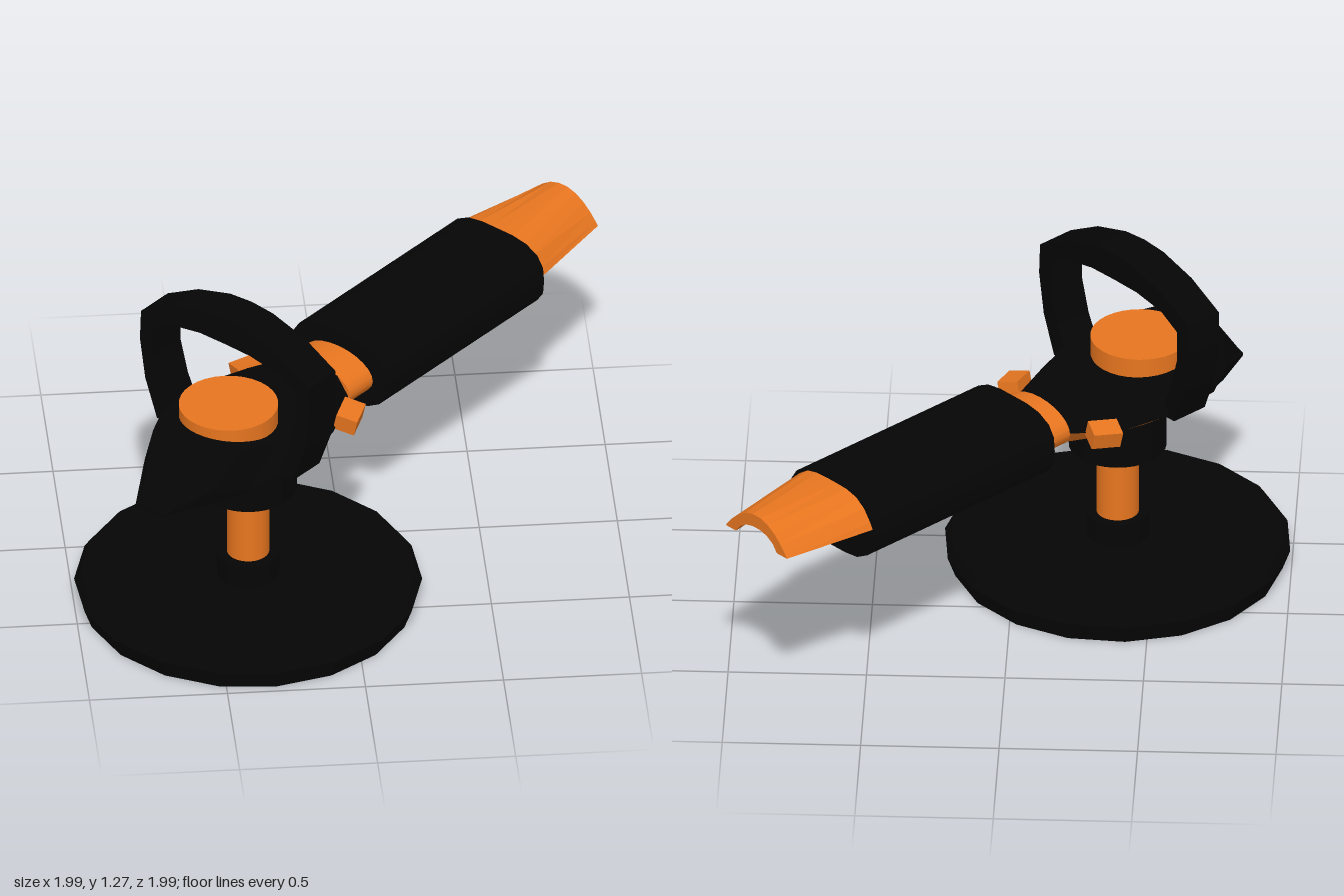
import * as THREE from 'three';

const black = new THREE.MeshStandardMaterial({ color: 0x050505 });
black.name = 'blackRubber';
const orange = new THREE.MeshStandardMaterial({ color: 0xea7720 });
orange.name = 'orangePlastic';

// Full ring from its +z half, listed top to bottom as [z, y].
const mirrored = half => [...half, ...half.slice().reverse().map(([z, y]) => [-z, y])];

// Faceted loft along x. rings: [x, [[z, y], ...]]; pick(segment, side) gives material 0 or 1.
function loft(rings, pick = () => 0) {
  const lists = [[], []];
  const n = rings[0][1].length;
  const at = (i, k) => {
    const [x, pts] = rings[i];
    const [z, y] = pts[k % n];
    return [x, y, z];
  };
  for (let i = 0; i < rings.length - 1; i++) {
    for (let k = 0; k < n; k++) {
      const a = at(i, k), b = at(i, k + 1), c = at(i + 1, k), d = at(i + 1, k + 1);
      lists[pick(i, k)].push(...a, ...b, ...c, ...b, ...d, ...c);
    }
  }
  for (const [i, dir] of [[0, -1], [rings.length - 1, 1]]) {
    const pts = rings[i][1].map(([z, y]) => new THREE.Vector2(z, y));
    for (const [p, q, r] of THREE.ShapeUtils.triangulateShape(pts, [])) {
      const u = pts[q].clone().sub(pts[p]), v = pts[r].clone().sub(pts[p]);
      const facing = -u.cross(v); // sign of the normal along x
      const order = facing * dir > 0 ? [p, q, r] : [p, r, q];
      order.forEach(k => lists[0].push(...at(i, k)));
    }
  }
  const geo = new THREE.BufferGeometry();
  geo.setAttribute('position', new THREE.Float32BufferAttribute([...lists[0], ...lists[1]], 3));
  geo.addGroup(0, lists[0].length / 3, 0);
  geo.addGroup(lists[0].length / 3, lists[1].length / 3, 1);
  geo.computeVertexNormals();
  return geo;
}

export function createModel() {
  const root = new THREE.Group();
  root.name = 'polisher';
  // Tool axis is local +x, the spindle is local y.
  const tool = new THREE.Group();
  tool.name = 'tool';
  tool.rotation.y = Math.PI / 4;
  tool.position.set(-0.37, 0, 0.372);
  root.add(tool);

  const add = (name, geo, mat, x = 0, y = 0, z = 0) => {
    const mesh = new THREE.Mesh(geo, mat);
    mesh.name = name;
    mesh.position.set(x, y, z);
    tool.add(mesh);
    return mesh;
  };
  const post = (name, r, y0, y1, mat, x = 0) =>
    add(name, new THREE.CylinderGeometry(r, r, y1 - y0, 32), mat, x, (y0 + y1) / 2);

  // Polishing pad, dished underneath around the hub
  const padProfile = [[0, 0.06], [0.1, 0.06], [0.1, 0.07], [0.5, 0.07], [0.6, 0], [0.628, 0.075], [0.605, 0.108], [0, 0.108]]
    .map(p => new THREE.Vector2(...p));
  const padGeo = new THREE.LatheGeometry(padProfile, 18).toNonIndexed();
  padGeo.computeVertexNormals();
  add('pad', padGeo, black);

  // Spindle
  post('padHub', 0.113, 0.1, 0.2, black);
  post('spindle', 0.077, 0.19, 0.5, orange);
  post('collar', 0.177, 0.48, 0.68, black);

  // Gear head: black shell, orange lower panels
  const section = (x, wt, yt, wm, ym, wb, yb) => [x, mirrored([[wt, yt], [wm, ym], [wb, yb]])];
  const head = loft([
    section(-0.56, 0.04, 0.665, 0.06, 0.658, 0.06, 0.65),
    section(-0.39, 0.12, 0.865, 0.16, 0.72, 0.14, 0.65),
    section(-0.26, 0.19, 0.845, 0.23, 0.69, 0.185, 0.65),
    section(-0.12, 0.23, 0.822, 0.285, 0.73, 0.19, 0.65),
    section(0.04, 0.22, 0.815, 0.285, 0.725, 0.18, 0.65),
    section(0.2, 0.17, 0.812, 0.235, 0.71, 0.15, 0.655),
    section(0.385, 0.1, 0.803, 0.15, 0.737, 0.085, 0.668),
  ], (i, k) => (i >= 2 && k >= 1 && k <= 3 ? 1 : 0));
  add('gearHead', head, [black, orange]);
  post('headCap', 0.18, 0.75, 0.89, orange, -0.11);

  // Side knobs on the tapering flanks
  for (const s of [1, -1]) {
    const knob = add(s > 0 ? 'leftKnob' : 'rightKnob', new THREE.BoxGeometry(0.11, 0.065, 0.08), orange, 0.285, 0.735, s * 0.238);
    knob.rotation.set(s * 0.25, s * 0.42, 0);
  }

  // Loop handle across the head
  const outer = [[0, 1.272], [0.1, 1.264], [0.25, 1.22], [0.395, 1.14], [0.4, 1.02], [0.375, 0.86], [0.32, 0.71]];
  const inner = [[0.24, 0.71], [0.3, 0.84], [0.335, 0.97], [0.335, 1.09], [0.25, 1.14], [0.12, 1.163]];
  const half = [...outer, ...inner];
  const left = half.slice(1).reverse().map(([z, y]) => [-z, y]);
  // Outer edge left to right, then inner edge right to left
  const outline = [...left.slice(inner.length), ...half, [0, 1.165], ...left.slice(0, inner.length)];
  const arch = new THREE.ExtrudeGeometry(new THREE.Shape(outline.map(p => new THREE.Vector2(...p))),
    { depth: 0.15, bevelEnabled: false });
  arch.rotateY(Math.PI / 2);
  add('loopHandle', arch, black, -0.14, 0, 0.008);

  // Neck ring
  const neck = new THREE.CylinderGeometry(0.16, 0.16, 0.16, 24);
  neck.rotateZ(Math.PI / 2);
  neck.scale(1, 0.54, 1);
  add('neck', neck, orange, 0.46, 0.737, 0);

  // Motor barrel
  const barrel = mirrored([[0.07, 0.88], [0.135, 0.87], [0.188, 0.842], [0.215, 0.8], [0.22, 0.745],
    [0.215, 0.69], [0.188, 0.65], [0.135, 0.62], [0.07, 0.612]]);
  add('barrel', loft([[0.51, barrel], [1.4, barrel]]), black);

  // Rear hood: arched shell, open underneath, rounder towards its end
  const hood = (w, y0, power, t) => {
    const outside = [0.12, 0.36, 0.59, 0.78, 0.93, 0.99].map(u => [u, 1 - u ** power]);
    const inside = [[0.6, 0.02], [0.48, 0.28], [0.3, 0.46], [0.1, 0.54]].map(([u, v]) => [u * t, v]);
    return mirrored([...outside, ...inside].map(([u, v]) => [u * w, y0 + v * (0.882 - y0)]));
  };
  add('rearHood', loft([[1.4, hood(0.22, 0.765, 4, 1.3)], [1.77, hood(0.165, 0.77, 2.1, 1.1)]]), orange);

  return root;
}
